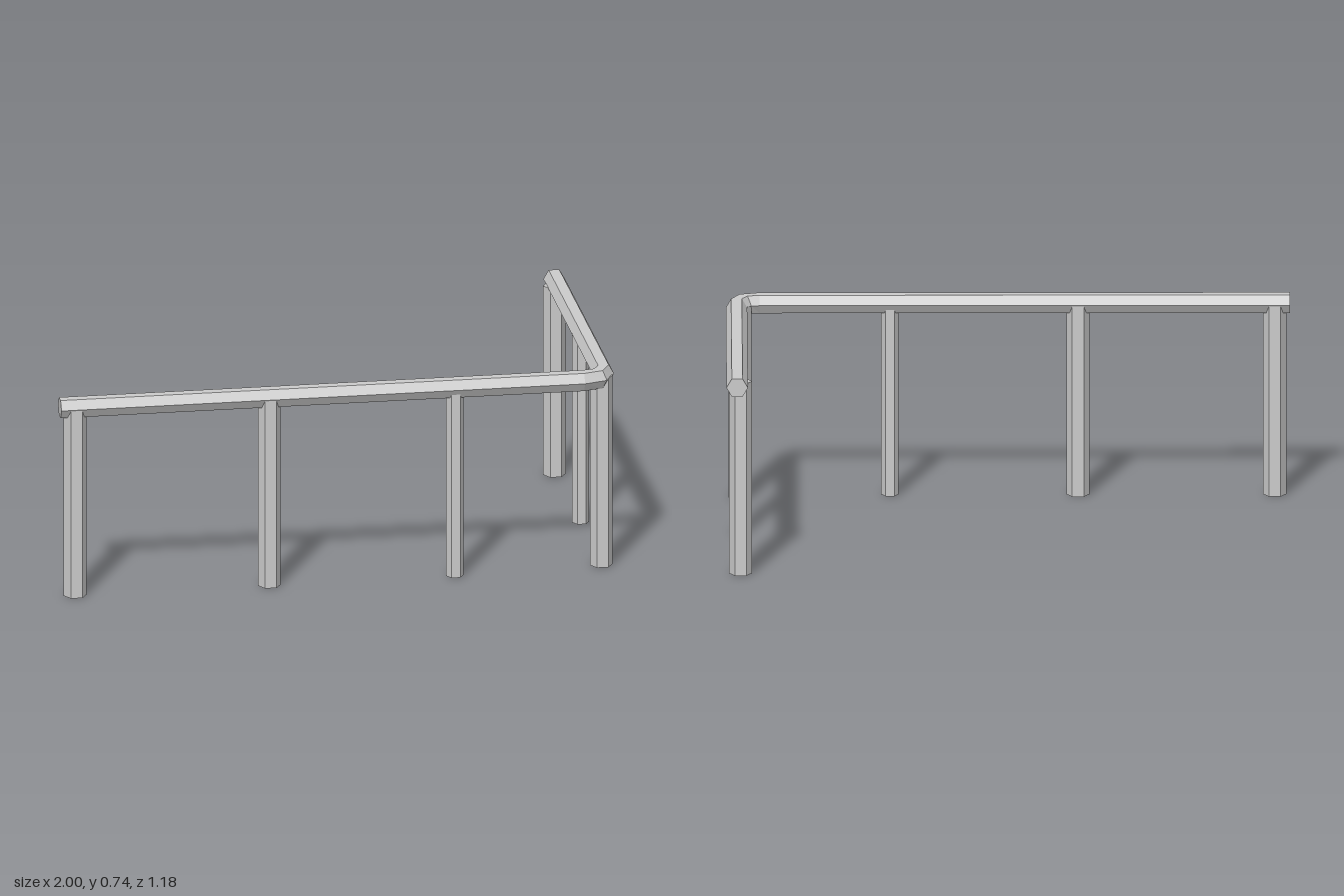
import * as THREE from 'three';

const material = new THREE.MeshStandardMaterial({ color: 0xcccccc, flatShading: true });

// Six-sided bar swept through rings: [x, z, heading angle of the outward side]
function hexRail(rings, y, r) {
  const pos = [], index = [], n = 6;
  for (const [x, z, a] of rings) {
    for (let i = 0; i < n; i++) {
      const t = (i / n) * Math.PI * 2;
      const out = Math.cos(t) * r;
      pos.push(x + Math.sin(a) * out, y + Math.sin(t) * r, z + Math.cos(a) * out);
    }
  }
  for (let k = 0; k < rings.length - 1; k++) {
    for (let i = 0; i < n; i++) {
      const a = k * n + i, b = k * n + ((i + 1) % n);
      index.push(a, a + n, b, b, a + n, b + n);
    }
  }
  // end caps
  const last = (rings.length - 1) * n;
  for (let i = 1; i < n - 1; i++) {
    index.push(0, i, i + 1);
    index.push(last, last + i + 1, last + i);
  }
  const g = new THREE.BufferGeometry();
  g.setAttribute('position', new THREE.Float32BufferAttribute(pos, 3));
  g.setIndex(index);
  const flat = g.toNonIndexed();
  flat.computeVertexNormals();
  return flat;
}

export function createModel() {
  const group = new THREE.Group();

  // Handrail with a two-segment bend at the corner
  const rail = new THREE.Mesh(hexRail([
    [-1, 0.553, 0],
    [0.88, 0.553, 0],
    [0.936, 0.538, Math.PI / 4],
    [0.962, 0.49, Math.PI / 2],
    [0.962, -0.592, Math.PI / 2],
  ], 0.703, 0.038), material);
  rail.name = 'handrail';
  group.add(rail);

  // Posts: x, z, radius
  const height = 0.705;
  const posts = [
    [-0.945, 0.553, 0.041],
    [-0.248, 0.553, 0.041],
    [0.418, 0.553, 0.031],
    [0.95, 0.515, 0.041],
    [0.955, 0.033, 0.031],
    [0.95, -0.51, 0.041],
  ];
  posts.forEach(([x, z, r], i) => {
    const geo = new THREE.CylinderGeometry(r, r, height, 6);
    geo.rotateY(Math.PI / 2); // corners point along x
    const post = new THREE.Mesh(geo, material);
    post.position.set(x, height / 2, z);
    post.name = `post${i + 1}`;
    group.add(post);
  });

  return group;
}
